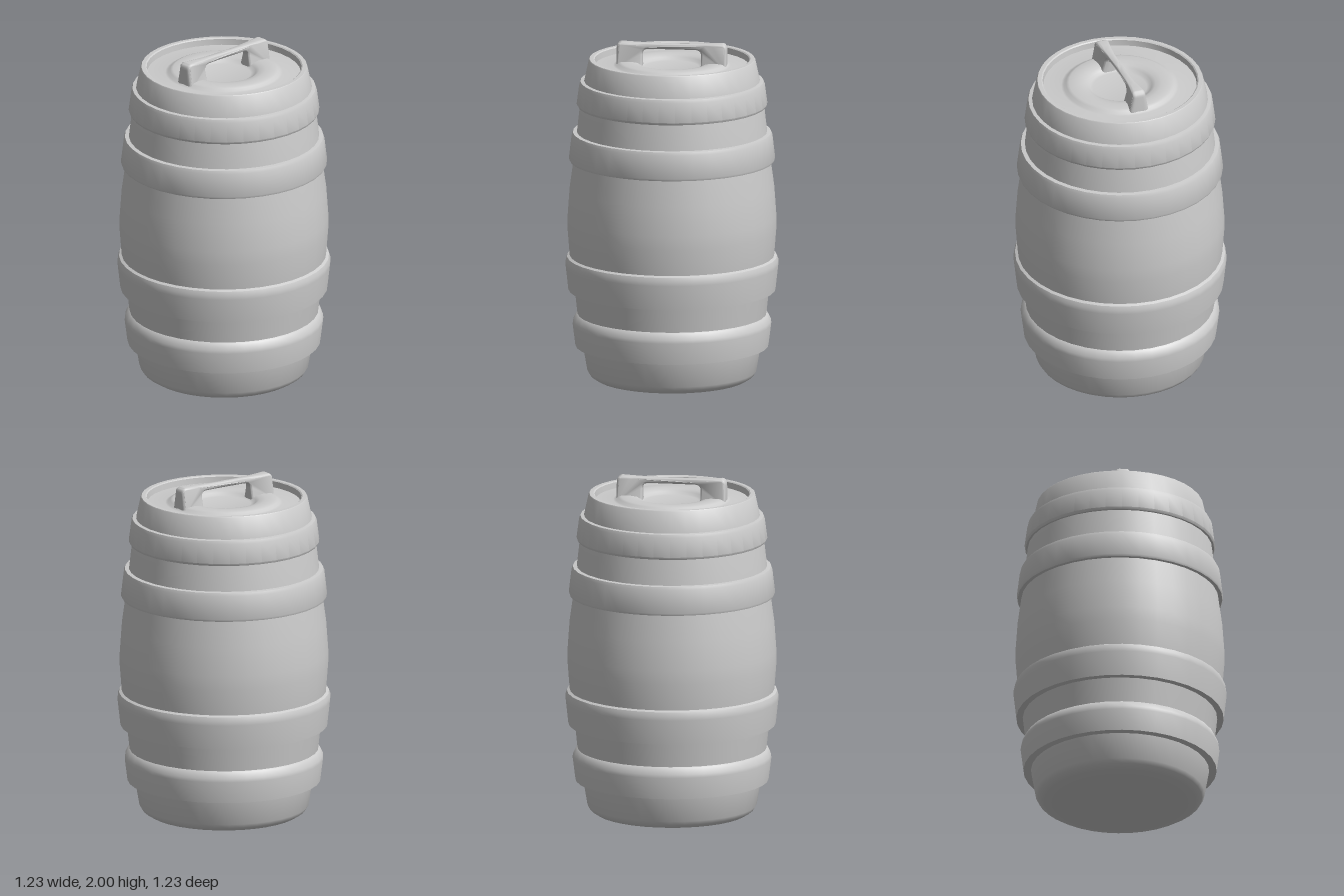
import * as THREE from 'three';
import { toCreasedNormals } from 'three/addons/utils/BufferGeometryUtils.js';

const material = new THREE.MeshStandardMaterial({ color: 0xcccccc });

function addMesh(group, name, geometry, crease = 0.6) {
  const mesh = new THREE.Mesh(toCreasedNormals(geometry, crease), material);
  mesh.name = name;
  group.add(mesh);
  return mesh;
}

// Turned part from [radius, height] pairs, listed from bottom to top
function turned(points) {
  return new THREE.LatheGeometry(points.map(([r, y]) => new THREE.Vector2(r, y)), 36);
}

// Lifting handle: arched outline extruded, waisted in the middle, flared at the feet
function handleGeometry() {
  const s = new THREE.Shape();
  const b = 0.012; // bevel
  s.moveTo(-0.32 + b, 1.86);
  s.lineTo(-0.32 + b, 1.965);
  s.quadraticCurveTo(-0.32 + b, 2 - b, -0.29, 2 - b);
  for (let i = 1; i <= 12; i++) {
    const x = -0.29 + (0.58 * i) / 12;
    s.lineTo(x, 2 - b - 0.006 * (1 - (x / 0.29) ** 2));
  }
  s.quadraticCurveTo(0.32 - b, 2 - b, 0.32 - b, 1.965);
  s.lineTo(0.32 - b, 1.86);
  s.lineTo(0.17 + b, 1.86);
  s.lineTo(0.17 + b, 1.93);
  s.quadraticCurveTo(0.17 + b, 1.958 + b, 0.14, 1.961 + b);
  for (let i = 1; i <= 6; i++) s.lineTo(0.14 - (0.28 * i) / 6, 1.961 + b);
  s.quadraticCurveTo(-0.17 - b, 1.958 + b, -0.17 - b, 1.93);
  s.lineTo(-0.17 - b, 1.86);
  s.closePath();

  const g = new THREE.ExtrudeGeometry(s, {
    depth: 0.04, bevelThickness: 0.02, bevelSize: b, bevelSegments: 4, curveSegments: 5,
  });
  g.translate(0, 0, -0.02);
  const p = g.attributes.position;
  for (let i = 0; i < p.count; i++) {
    const x = Math.min(Math.abs(p.getX(i)) / 0.3, 1);
    const foot = Math.max(0, 1.95 - p.getY(i)) / 0.09;
    p.setZ(i, p.getZ(i) * (0.5 + 0.5 * x * x + 0.5 * foot * foot));
  }
  return g;
}

export function createModel() {
  const barrel = new THREE.Group();
  barrel.name = 'barrel';

  // Bulging body with rounded foot and a thin upper rim
  addMesh(barrel, 'body', turned([
    [0, 0.012], [0.3, 0.01], [0.36, 0], [0.44, 0.018], [0.475, 0.04], [0.49, 0.065],
    [0.515, 0.21], [0.547, 0.4], [0.562, 0.54], [0.59, 0.72], [0.604, 0.9], [0.604, 0.98],
    [0.592, 1.15], [0.57, 1.31], [0.55, 1.48], [0.533, 1.63], [0.508, 1.78],
    [0.482, 1.9], [0.478, 1.905], [0.455, 1.905], [0.448, 1.9], [0.445, 1.865],
  ]));

  // Lid with a raised ring around a dished centre
  addMesh(barrel, 'lid', turned([
    [0.45, 1.865], [0.34, 1.867], [0.325, 1.87], [0.312, 1.883], [0.295, 1.889],
    [0.24, 1.889], [0.205, 1.884], [0.185, 1.874], [0.172, 1.862], [0.155, 1.858], [0, 1.858],
  ]), 0.9);

  // Hoops: outer profile only, both ends tucked into the body
  const hoops = {
    bottomHoop: [[0.5, 0.213], [0.559, 0.213], [0.575, 0.34], [0.573, 0.36], [0.556, 0.395], [0.54, 0.405]],
    lowerHoop: [[0.55, 0.545], [0.6, 0.545], [0.616, 0.69], [0.616, 0.715], [0.608, 0.738], [0.585, 0.75]],
    upperHoop: [[0.56, 1.307], [0.592, 1.307], [0.597, 1.32], [0.581, 1.455], [0.574, 1.473], [0.54, 1.477]],
    topHoop: [[0.52, 1.628], [0.545, 1.628], [0.552, 1.642], [0.537, 1.755], [0.53, 1.773], [0.5, 1.777]],
  };
  for (const [name, profile] of Object.entries(hoops)) addMesh(barrel, name, turned(profile));

  addMesh(barrel, 'handle', handleGeometry(), 0.8).rotation.y = -0.147;
  return barrel;
}
